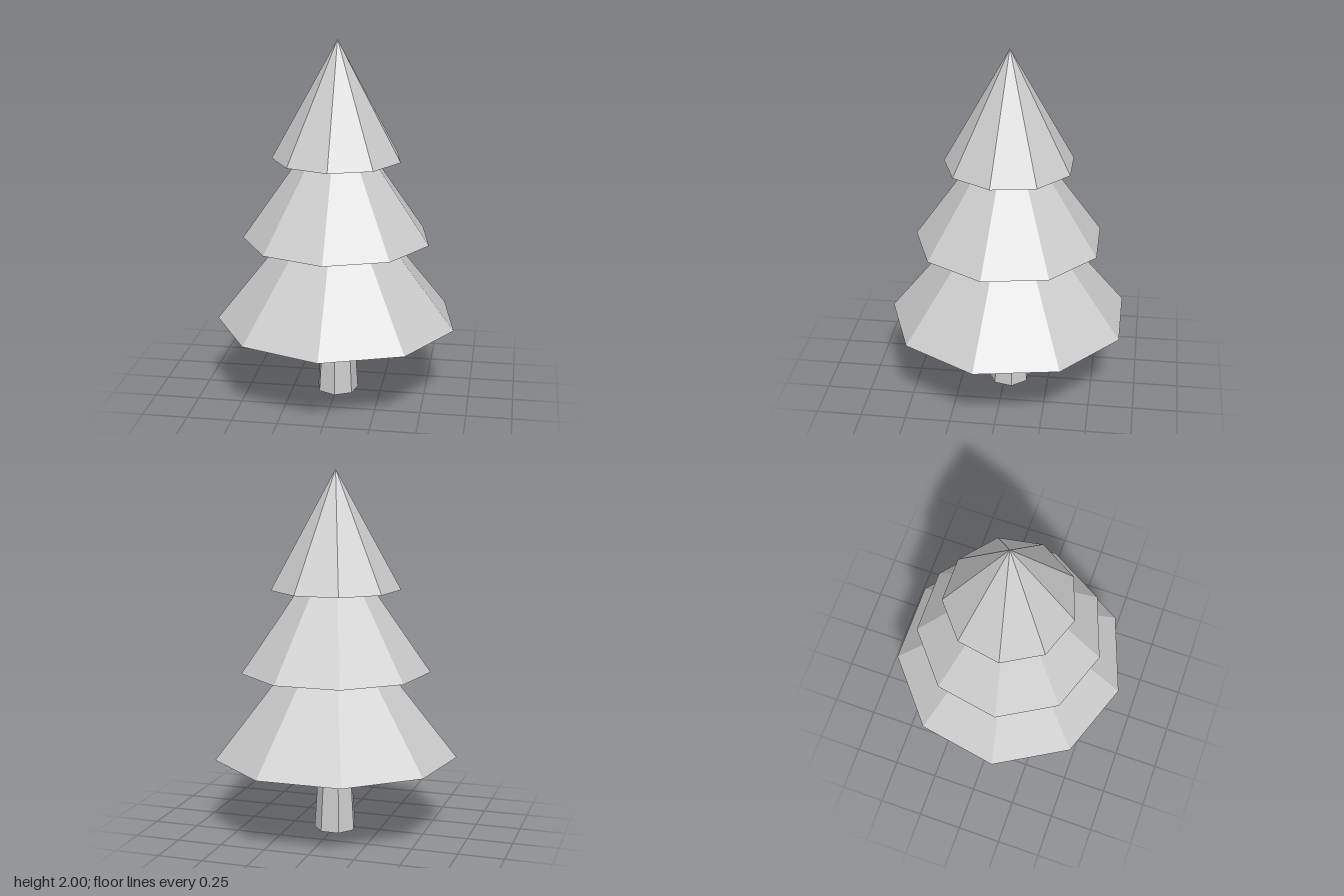
import * as THREE from 'three';

export function createModel() {
  const tree = new THREE.Group();
  tree.name = 'pineTree';
  const grey = new THREE.MeshStandardMaterial({ color: 0xcccccc });
  grey.name = 'light grey';

  // Tapered prism standing on height y, with one corner facing the front
  const addPart = (name, topRadius, bottomRadius, y, height, sides) => {
    let geometry = new THREE.CylinderGeometry(topRadius, bottomRadius, height, sides);
    geometry = geometry.toNonIndexed();
    geometry.computeVertexNormals(); // one flat normal per face
    const mesh = new THREE.Mesh(geometry, grey);
    mesh.name = name;
    mesh.position.set(0, y + height / 2, -0.023);
    tree.add(mesh);
  };

  // Seven-sided trunk
  addPart('trunk', 0.09, 0.118, 0, 0.44, 7);

  // Nine-sided foliage cones, each tip hidden in the tier above
  addPart('lowerFoliage', 0, 0.673, 0.43, 0.845, 9);
  addPart('middleFoliage', 0, 0.523, 0.905, 0.745, 9);
  addPart('topFoliage', 0, 0.358, 1.355, 0.645, 9);

  return tree;
}
